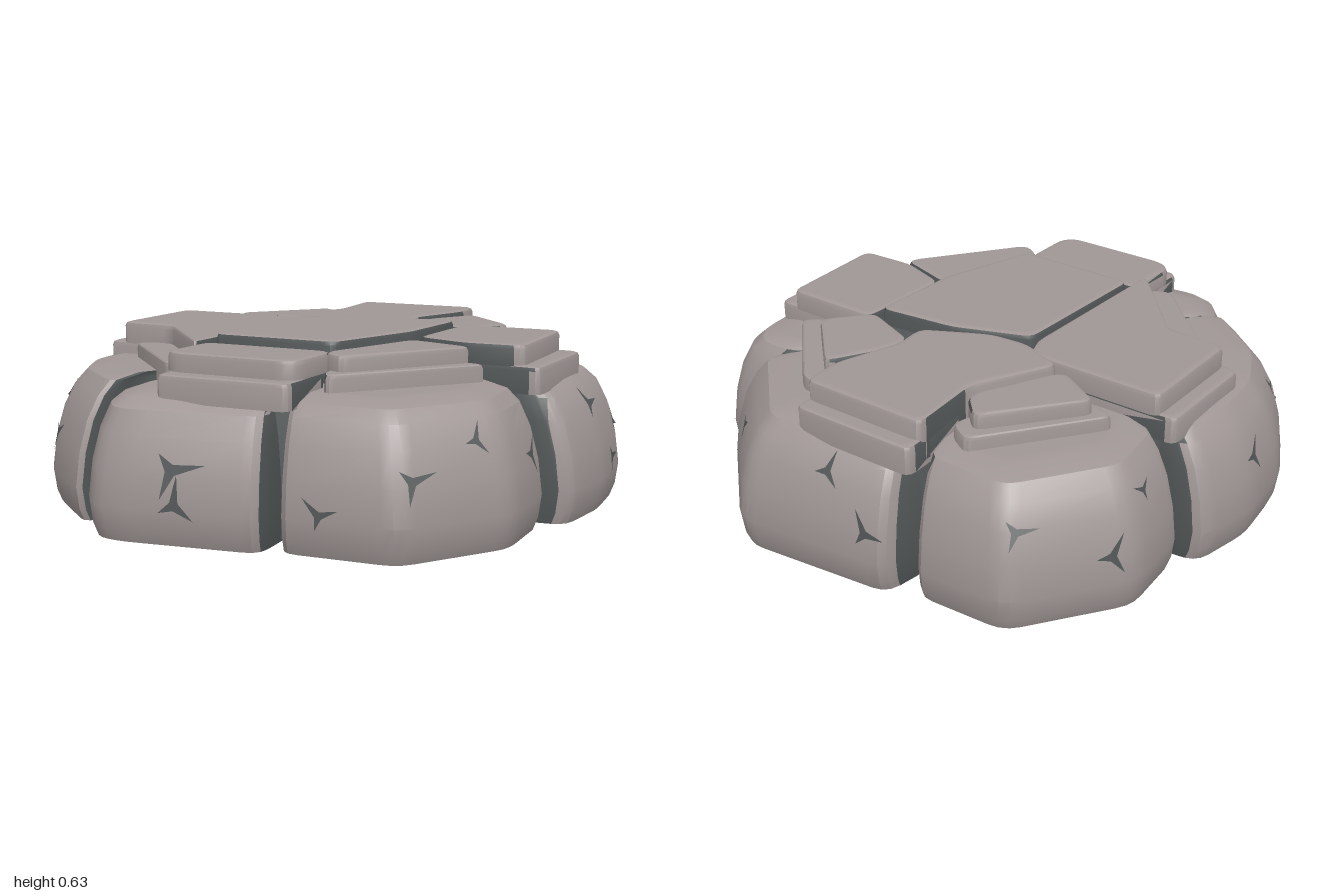
import * as THREE from 'three';
import { toCreasedNormals } from 'three/addons/utils/BufferGeometryUtils.js';

const stone = new THREE.MeshStandardMaterial({ color: 0xa09796 });
stone.name = 'stone';
const crevice = new THREE.MeshStandardMaterial({ color: 0x525656, side: THREE.DoubleSide });
crevice.name = 'crevice';
const earth = new THREE.MeshStandardMaterial({ color: 0xa89e89 });
earth.name = 'earth';

// Rounds the corners of an [x, z] outline and orders it counterclockwise from above.
function roundOutline(corners, radius, steps = 3) {
  const pts = corners.map(([x, z]) => new THREE.Vector2(x, z));
  if (THREE.ShapeUtils.area(pts) > 0) pts.reverse();
  const out = [];
  pts.forEach((p, i) => {
    const toward = (q) => {
      const d = q.clone().sub(p);
      const len = d.length();
      return p.clone().add(d.multiplyScalar(Math.min(radius, len * 0.45) / len));
    };
    const a = toward(pts[(i + pts.length - 1) % pts.length]);
    const b = toward(pts[(i + 1) % pts.length]);
    out.push(...new THREE.QuadraticBezierCurve(a, p, b).getPoints(steps));
  });
  return out;
}

function centreOf(outline) {
  const c = new THREE.Vector2();
  outline.forEach((p) => c.add(p));
  return c.divideScalar(outline.length);
}

// Closed loft: place(point, inset, centre) moves the outline at each [y, inset] level.
function loft(outline, levels, place, crease) {
  const n = outline.length;
  const c = centreOf(outline);
  const pos = [];
  const idx = [];
  levels.forEach(([y, inset]) => outline.forEach((p) => {
    const q = place(p, inset, c);
    pos.push(q.x, y, q.y);
  }));
  const top = (levels.length - 1) * n;
  const low = levels.length * n;
  pos.push(c.x, levels[0][0], c.y, c.x, levels[levels.length - 1][0], c.y);
  for (let i = 0; i < n; i++) {
    const j = (i + 1) % n;
    for (let k = 0; k < top; k += n) idx.push(k + i, k + j, k + n + j, k + i, k + n + j, k + n + i);
    idx.push(low, j, i, low + 1, top + i, top + j);
  }
  const geo = new THREE.BufferGeometry();
  geo.setAttribute('position', new THREE.Float32BufferAttribute(pos, 3));
  geo.setIndex(idx);
  return toCreasedNormals(geo, crease);
}

// Material groups: 0 weathered faces, 1 walls turned toward a neighbour, 2 underside.
function paintWalls(geo, limit) {
  const pos = geo.attributes.position;
  const tri = new THREE.Triangle();
  const normal = new THREE.Vector3();
  const mid = new THREE.Vector3();
  let start = 0;
  let last = -1;
  for (let i = 0; i < pos.count; i += 3) {
    tri.setFromAttributeAndIndices(pos, i, i + 1, i + 2);
    tri.getNormal(normal);
    tri.getMidpoint(mid).setY(0).normalize();
    let kind = 0;
    if (normal.y < -0.9) kind = 2;
    else if (Math.abs(normal.y) < 0.5 && normal.dot(mid) < limit) kind = 1;
    if (kind !== last) {
      if (i > 0) geo.addGroup(start, i - start, last);
      start = i;
      last = kind;
    }
  }
  geo.addGroup(start, pos.count - start, last);
  return geo;
}

// Slabs shrink evenly toward their middle.
const shrink = (p, inset, c) => {
  const d = p.clone().sub(c);
  return c.clone().add(d.multiplyScalar(1 - inset / d.length()));
};
// Boulders lean back on their outer side and only narrow slightly at the gaps.
const leanBack = (p, inset, c) => {
  const r = p.length();
  const q = p.clone().multiplyScalar(1 - (inset * THREE.MathUtils.smoothstep(r, 0.45, 0.85)) / r);
  return q.lerp(c, inset * 0.28);
};

function addMesh(group, name, geo, material) {
  const mesh = new THREE.Mesh(geo, material);
  mesh.name = name;
  group.add(mesh);
  return mesh;
}

function slabGeometry(corners, y0, y1) {
  const levels = [[y0, 0], [y1 - 0.016, 0], [y1 - 0.004, 0.006], [y1, 0.018], [y1, 0.03]];
  return loft(roundOutline(corners, 0.038), levels, shrink, 0.5);
}

// Outer ring of boulders: outline and top height
const BOULDERS = {
  backRightBoulder: [[[-0.22, -0.75], [-0.19, -0.94], [0.4, -1], [0.78, -0.64], [0.69, -0.5], [0.35, -0.2], [-0.15, -0.3]], 0.5],
  rightBoulder: [[[0.74, -0.55], [0.9, -0.54], [0.97, -0.44], [1, -0.15], [0.97, 0.12], [0.86, 0.14], [0.35, 0.1], [0.35, -0.25]], 0.49],
  frontRightBoulder: [[[0.89, 0.17], [0.9, 0.5], [0.66, 0.86], [0.25, 0.89], [0.22, 0.76], [0.15, 0.3], [0.4, 0.15]], 0.49],
  frontBoulder: [[[0.19, 0.76], [0.2, 0.93], [-0.3, 1], [-0.4, 0.985], [-0.51, 0.84], [-0.43, 0.7], [-0.2, 0.35], [0.12, 0.35]], 0.48],
  leftBoulder: [[[-0.555, 0.85], [-0.85, 0.6], [-0.97, 0.36], [-1, 0.1], [-0.95, -0.15], [-0.85, -0.17], [-0.35, -0.1], [-0.3, 0.4], [-0.5, 0.7]], 0.5],
  backLeftBoulder: [[[-0.88, -0.2], [-0.9, -0.5], [-0.63, -0.87], [-0.28, -0.89], [-0.25, -0.76], [-0.18, -0.3], [-0.4, -0.19]], 0.5],
};

// Paving on top: outline, bottom and top height
const SLABS = {
  backSlab: [[[-0.25, -0.8], [0.24, -0.8], [0.25, -0.65], [0.17, -0.4], [0.18, -0.27], [-0.05, -0.15], [-0.2, -0.14], [-0.38, -0.21], [-0.23, -0.5]], 0.47, 0.622],
  backLedge: [[[-0.25, -0.86], [0.24, -0.86], [0.24, -0.55], [-0.24, -0.55]], 0.45, 0.55],
  leftSlab: [[[-0.77, -0.2], [-0.25, -0.2], [-0.21, -0.1], [-0.23, 0.6], [-0.54, 0.26], [-0.77, 0.25]], 0.54, 0.62],
  leftLedge: [[[-0.83, -0.19], [-0.3, -0.19], [-0.3, 0.24], [-0.83, 0.25]], 0.45, 0.545],
  frontLeftLedge: [[[-0.69, 0.28], [-0.58, 0.2], [-0.23, 0.5], [-0.23, 0.64], [-0.3, 0.67]], 0.45, 0.55],
  rightSlab: [[[0.4, -0.29], [0.78, -0.29], [0.8, 0.16], [0.58, 0.17], [0.385, 0.1]], 0.54, 0.615],
  rightLedge: [[[0.45, -0.28], [0.86, -0.28], [0.86, 0.18], [0.45, 0.14]], 0.45, 0.545],
  frontSlab: [[[-0.24, 0.51], [0.26, 0.515], [0.26, 0.74], [0.22, 0.78], [-0.2, 0.78], [-0.25, 0.74]], 0.54, 0.605],
  frontLedge: [[[-0.23, 0.55], [0.25, 0.55], [0.26, 0.84], [-0.23, 0.85]], 0.45, 0.54],
  backLeftSlab: [[[-0.6, -0.32], [-0.34, -0.64], [-0.24, -0.54], [-0.27, -0.45], [-0.41, -0.21]], 0.54, 0.605],
  backLeftLedge: [[[-0.66, -0.29], [-0.35, -0.7], [-0.25, -0.64], [-0.4, -0.2]], 0.45, 0.55],
  backRightSlab: [[[0.3, -0.64], [0.54, -0.4], [0.41, -0.245], [0.17, -0.34], [0.19, -0.46]], 0.54, 0.61],
  backRightLedge: [[[0.26, -0.7], [0.36, -0.69], [0.68, -0.35], [0.62, -0.3], [0.42, -0.27], [0.24, -0.5]], 0.45, 0.55],
  frontRightSlab: [[[0.24, 0.55], [0.26, 0.46], [0.38, 0.12], [0.63, 0.2], [0.33, 0.61]], 0.54, 0.605],
  frontRightLedge: [[[0.26, 0.58], [0.4, 0.17], [0.69, 0.21], [0.31, 0.68]], 0.45, 0.55],
};

// Cracks: direction around the ring in degrees from +x toward +z, height, size, tilt
const CRACKS = [
  [96, 0.25, 0.12, 0.2], [95, 0.14, 0.1, 1.5], [142, 0.26, 0.08, 0.5], [150, 0.38, 0.06, 2],
  [172, 0.3, 0.08, 1], [50, 0.26, 0.09, 0.3], [66, 0.14, 0.08, 2.4], [36, 0.36, 0.07, 1.2],
  [18, 0.27, 0.08, 0.8], [-8, 0.38, 0.09, 2.2], [-16, 0.17, 0.08, 0], [-22, 0.28, 0.07, 1.7],
  [-55, 0.34, 0.08, 0.6], [-86, 0.38, 0.08, 1.3], [-97, 0.22, 0.09, 2], [-128, 0.35, 0.08, 0.1],
  [-146, 0.22, 0.09, 1.1], [-155, 0.38, 0.06, 2.6],
];

// Thin three-armed star
function crackGeometry(size, tilt) {
  const shape = new THREE.Shape();
  [1, 0.6, 0.85].forEach((arm, i) => {
    const a = tilt + i * 2.1;
    shape[i ? 'lineTo' : 'moveTo'](Math.cos(a) * size * arm, Math.sin(a) * size * arm);
    shape.lineTo(Math.cos(a + 1.05) * size * 0.17, Math.sin(a + 1.05) * size * 0.17);
  });
  return new THREE.ShapeGeometry(shape);
}

export function createModel() {
  const model = new THREE.Group();
  model.name = 'rockPlatform';
  const faces = [stone, crevice, earth];

  // Boulder ring
  const boulders = new THREE.Group();
  boulders.name = 'boulders';
  for (const [name, [corners, h]] of Object.entries(BOULDERS)) {
    const levels = [[0, 0.025], [0.04, 0.01], [0.12, 0], [0.24, 0.015], [0.35, 0.045], [0.43, 0.085], [h - 0.02, 0.13], [h, 0.22], [h, 0.26]];
    const geo = loft(roundOutline(corners, 0.06), levels, leanBack, 0.4);
    addMesh(boulders, name, paintWalls(geo, 0.45), faces);
  }
  model.add(boulders);

  // Dark filling seen in the gaps, and the underside
  const ring = Array.from({ length: 16 }, (_, i) => [Math.cos(i * Math.PI / 8) * 0.78, Math.sin(i * Math.PI / 8) * 0.78]);
  addMesh(model, 'gapFilling', slabGeometry(ring, 0.01, 0.455), crevice);
  addMesh(model, 'jointFilling', slabGeometry([[-0.3, -0.35], [0.2, -0.4], [0.5, -0.2], [0.5, 0.1], [0.3, 0.45], [-0.2, 0.55], [-0.5, 0.1]], 0.45, 0.57), crevice);
  addMesh(model, 'underside', new THREE.CircleGeometry(0.84, 24).rotateX(Math.PI / 2), earth);

  // Paving slabs and the ledges beneath them; the centre slab has joints all round
  const paving = new THREE.Group();
  paving.name = 'paving';
  for (const [name, [corners, y0, y1]] of Object.entries(SLABS)) {
    addMesh(paving, name, paintWalls(slabGeometry(corners, y0, y1), 0.3), faces);
  }
  const centre = [[-0.2, -0.11], [0.08, -0.215], [0.385, -0.245], [0.37, 0.12], [0.25, 0.495], [-0.22, 0.49]];
  addMesh(paving, 'centreSlab', paintWalls(slabGeometry(centre, 0.47, 0.635), 2), faces);
  model.add(paving);

  // Cracks laid on the boulder faces
  const cracks = new THREE.Group();
  cracks.name = 'cracks';
  const ray = new THREE.Raycaster();
  for (const [deg, y, size, tilt] of CRACKS) {
    const a = THREE.MathUtils.degToRad(deg);
    const out = new THREE.Vector3(Math.cos(a), 0, Math.sin(a));
    ray.set(out.clone().multiplyScalar(2).setY(y), out.clone().negate());
    const hit = ray.intersectObjects(boulders.children)[0];
    if (!hit) continue;
    const crack = addMesh(cracks, 'crack', crackGeometry(size, tilt), crevice);
    crack.position.copy(hit.point).addScaledVector(hit.face.normal, 0.005);
    crack.lookAt(crack.position.clone().add(hit.face.normal));
  }
  model.add(cracks);
  return model;
}
